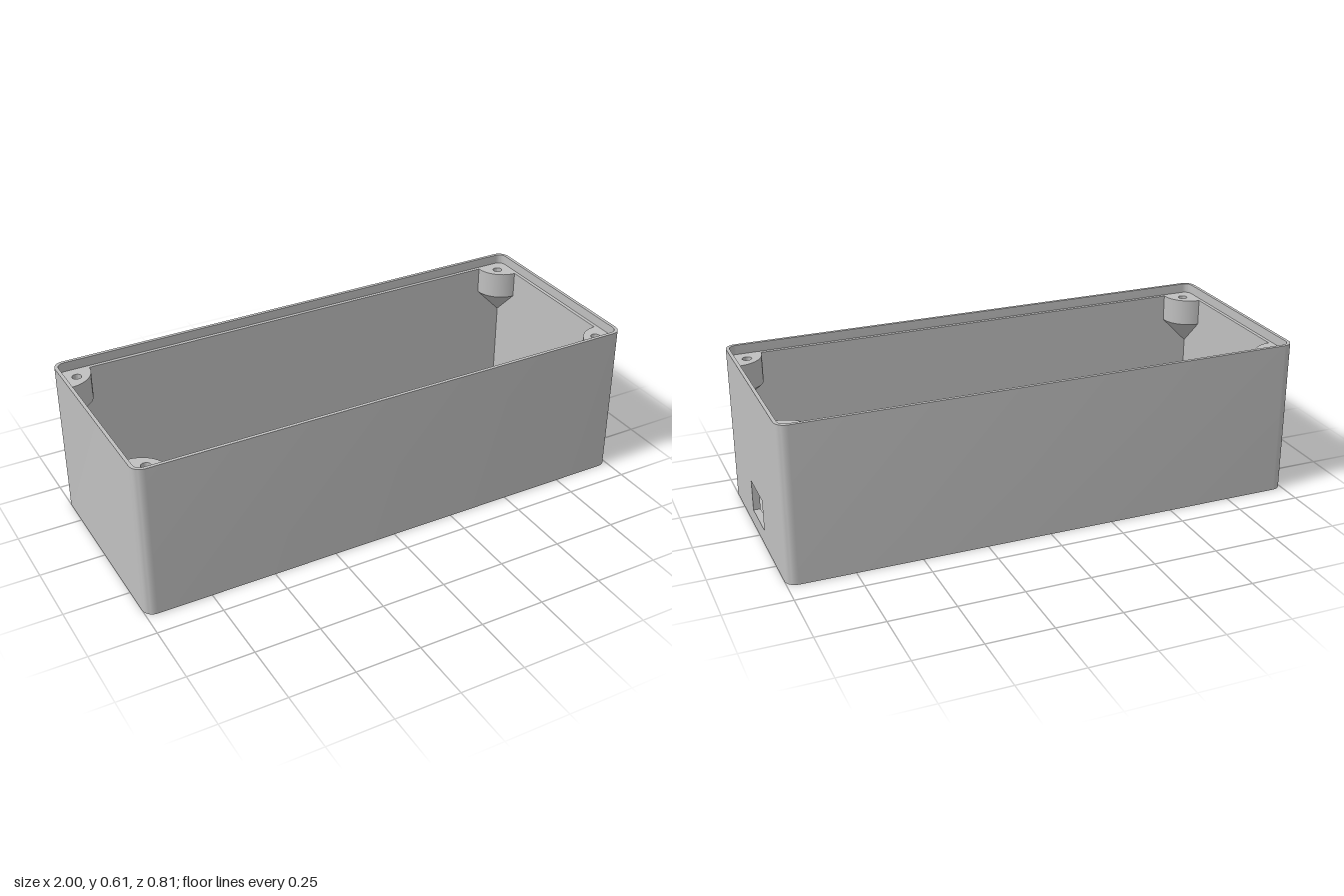
import * as THREE from 'three';
import { toCreasedNormals } from 'three/addons/utils/BufferGeometryUtils.js';

// Main sizes: half extents, floor, ledge and rim heights
const HX = 1, HZ = 0.405, R = 0.042;
const CX = 0.973, CZ = 0.378;
const FLOOR = 0.027, LEDGE = 0.57, TOP = 0.607;
const BOSS_R = 0.107, BOSS_Y = 0.465;
const WIN = { z: 0.086, y0: 0.063, y1: 0.184 };

const grey = new THREE.MeshStandardMaterial({ color: 0xc0c0c0, side: THREE.DoubleSide });
grey.name = 'grey plastic';

// Points on an arc in the x-z plane
function arc(cx, cz, r, a0, a1, n) {
  const pts = [];
  for (let i = 0; i <= n; i++) {
    const a = a0 + (a1 - a0) * i / n;
    pts.push([cx + r * Math.cos(a), cz + r * Math.sin(a)]);
  }
  return pts;
}
const circle = (x, z, r) => arc(x, z, r, 0, Math.PI * 2, 32);

// Rounded rectangle, starting and ending on the +x side
function roundedRect(hx, hz, r) {
  const signs = [[1, 1], [-1, 1], [-1, -1], [1, -1]];
  return signs.flatMap(([sx, sz], i) =>
    arc(sx * (hx - r), sz * (hz - r), r, i * Math.PI / 2, (i + 1) * Math.PI / 2, 8));
}
const rect = (hx, hz) => [[hx, hz], [-hx, hz], [-hx, -hz], [hx, -hz]];
const closed = pts => [...pts, pts[0]];

// Wall spanning two outlines at two heights
function strip(a, ya, b, yb) {
  const pos = [];
  for (let i = 0; i < a.length - 1; i++) {
    const p = [a[i][0], ya, a[i][1]], q = [a[i + 1][0], ya, a[i + 1][1]];
    const s = [b[i][0], yb, b[i][1]], t = [b[i + 1][0], yb, b[i + 1][1]];
    pos.push(...p, ...s, ...q, ...q, ...s, ...t);
  }
  const g = new THREE.BufferGeometry();
  g.setAttribute('position', new THREE.Float32BufferAttribute(pos, 3));
  return toCreasedNormals(g, 0.6);
}

function shapeOf(outline, holes = []) {
  const v = pts => pts.map(p => new THREE.Vector2(p[0], p[1]));
  const s = new THREE.Shape(v(outline));
  holes.forEach(h => s.holes.push(new THREE.Path(v(h))));
  return new THREE.ShapeGeometry(s);
}
// Horizontal face at height y
const flat = (y, outline, holes) => shapeOf(outline, holes).rotateX(Math.PI / 2).translate(0, y, 0);

// End panel facing +x, pierced by the port opening
function endPanel(x, hz, y0, y1) {
  const box = (h, a, b) => [[-h, a], [h, a], [h, b], [-h, b]];
  return shapeOf(box(hz, y0, y1), [box(WIN.z, WIN.y0, WIN.y1)]).rotateY(Math.PI / 2).translate(x, 0, 0);
}

export function createModel() {
  const model = new THREE.Group();
  model.name = 'openEnclosure';
  const add = (name, geometry) => {
    const m = new THREE.Mesh(geometry, grey);
    m.name = name;
    model.add(m);
  };
  const corners = [[1, 1], [-1, 1], [-1, -1], [1, -1]];

  // Outer shell
  const outer = roundedRect(HX, HZ, R);
  const lip = roundedRect(0.987, 0.392, 0.029);
  const screws = corners.map(([sx, sz]) => [sx * 0.635, sz * 0.304]);
  add('outerWall', strip(outer, 0, outer, TOP));
  add('outerEndPanel', endPanel(HX, HZ - R, 0, TOP));
  add('underside', flat(0, outer, screws.map(([x, z]) => circle(x, z, 0.021))));

  // Rim and recessed lip
  add('rim', flat(TOP, outer, [lip]));
  add('lipWall', strip(closed(lip), LEDGE, closed(lip), TOP));

  // Cavity walls and floor; the fourth wall is the pierced panel
  const cavity = [[CX, CZ], [-CX, CZ], [-CX, -CZ], [CX, -CZ]];
  add('innerWall', strip(cavity, FLOOR, cavity, LEDGE));
  add('innerEndPanel', endPanel(CX, CZ, FLOOR, LEDGE));
  add('floor', flat(FLOOR, rect(CX, CZ), screws.map(([x, z]) => circle(x, z, 0.037))));

  // Port opening reveal
  const sill = [[CX, -WIN.z], [HX, -WIN.z], [HX, WIN.z], [CX, WIN.z]];
  add('portSill', flat(WIN.y0, sill));
  add('portHead', flat(WIN.y1, sill));
  for (const s of [1, -1]) {
    const side = [[CX, s * WIN.z], [HX, s * WIN.z]];
    add('portSide', strip(side, WIN.y0, side, WIN.y1));
  }

  // Ledge with flush corner bosses
  const bossArcs = corners.map(([sx, sz], i) => {
    const a = i * Math.PI / 2;
    return arc(sx * CX, sz * CZ, BOSS_R, a + Math.PI * 1.5, a + Math.PI, 14);
  });
  const bossHoles = corners.map(([sx, sz]) => circle(sx * 0.93, sz * 0.335, 0.018));
  add('ledge', flat(LEDGE, lip, [bossArcs.flat(), ...bossHoles]));
  corners.forEach(([sx, sz], i) => {
    const edge = bossArcs[i];
    const tip = edge.map(() => [sx * CX, sz * CZ]);
    add('cornerBoss', strip(edge, BOSS_Y, edge, LEDGE));
    add('cornerBossTaper', strip(tip, BOSS_Y - BOSS_R, edge, BOSS_Y));
    add('bossHole', strip(bossHoles[i], LEDGE - 0.1, bossHoles[i], LEDGE));
    add('bossHoleEnd', flat(LEDGE - 0.1, bossHoles[i]));
  });

  // Countersunk mounting holes
  for (const [x, z] of screws) {
    const bore = circle(x, z, 0.021);
    add('mountingHole', strip(bore, 0, bore, 0.011));
    add('countersink', strip(bore, 0.011, circle(x, z, 0.037), FLOOR));
  }

  // Circuit board standoffs
  const standTop = 0.065;
  for (const x of [0.125, 0.85]) for (const z of [-0.256, 0.251]) {
    const body = circle(x, z, 0.039), bore = circle(x, z, 0.018);
    add('standoff', strip(body, FLOOR, body, standTop));
    add('standoffTop', flat(standTop, body, [bore]));
    add('standoffBore', strip(bore, FLOOR, bore, standTop));
  }
  return model;
}
